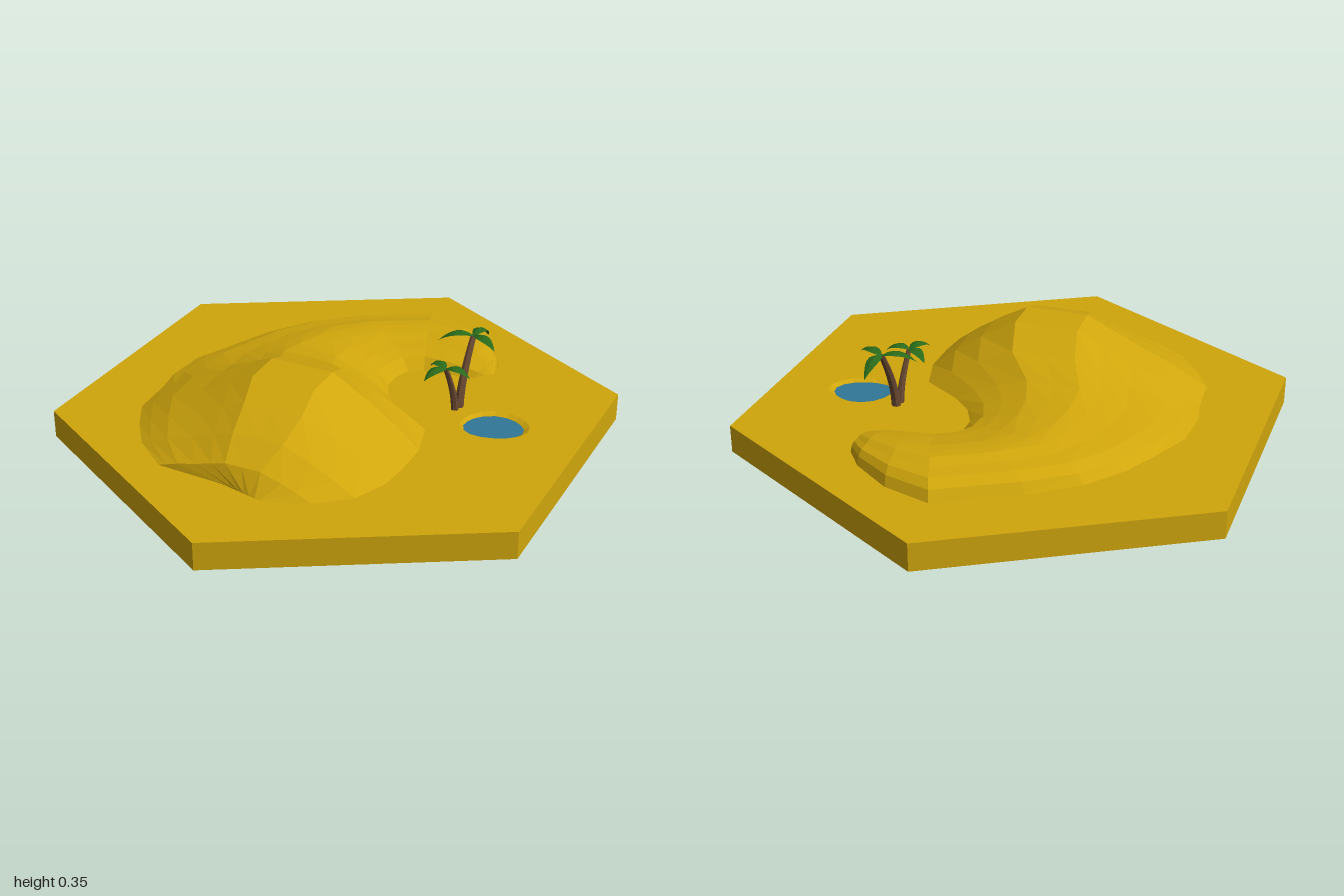
import * as THREE from 'three';

const material = (color, side = THREE.FrontSide) =>
  new THREE.MeshStandardMaterial({ color, side, flatShading: true });
const sand = material(0xd0a60c);
const water = material(0x2f7796);
const bark = material(0x6b4a32);
const leafGreen = material(0x2a6a1a, THREE.DoubleSide);
const GROUND = 0.1;

function mesh(name, geometry, mat) {
  const m = new THREE.Mesh(geometry, mat);
  m.name = name;
  return m;
}

// Triangulated sheet from rows of [x, y, z] points
function sheet(rows) {
  const n = rows[0].length, index = [];
  for (let i = 0; i < rows.length - 1; i++) {
    for (let j = 0; j < n - 1; j++) {
      const a = i * n + j, c = a + n;
      index.push(a, a + 1, c, a + 1, c + 1, c);
    }
  }
  const g = new THREE.BufferGeometry();
  g.setAttribute('position', new THREE.Float32BufferAttribute(rows.flat(2), 3));
  g.setIndex(index);
  g.computeVertexNormals();
  return g;
}

// Slightly irregular tilted oval, in x and z
function oval(cx, cz, rx, rz, tilt) {
  const points = [];
  for (let i = 0; i < 16; i++) {
    const a = (i / 16) * Math.PI * 2, k = 1 + 0.04 * Math.sin(3 * a);
    const x = rx * k * Math.cos(a), z = rz * k * Math.sin(a);
    points.push(new THREE.Vector2(cx + x * Math.cos(tilt) - z * Math.sin(tilt),
      cz + x * Math.sin(tilt) + z * Math.cos(tilt)));
  }
  return points;
}

// Flat shape given in x and z, facing up
function flat(points, y, hole) {
  const flip = (list) => list.map((p) => new THREE.Vector2(p.x, -p.y));
  const shape = new THREE.Shape(flip(points));
  if (hole) shape.holes.push(new THREE.Path(flip(hole)));
  return new THREE.ShapeGeometry(shape).rotateX(-Math.PI / 2).translate(0, y, 0);
}

// Hexagonal slab with a shallow pond sunk into its top
function makeGround() {
  const group = new THREE.Group();
  group.name = 'ground';
  const corners = Array.from({ length: 6 }, (_, i) =>
    new THREE.Vector2(Math.sin(i * Math.PI / 3), Math.cos(i * Math.PI / 3)));
  const rim = oval(0.553, -0.095, 0.12, 0.098, -0.35);
  const shore = oval(0.55, -0.092, 0.105, 0.08, -0.3);
  const ring = (list, y) => [...list, list[0]].map((p) => [p.x, y, p.y]);
  const sides = new THREE.CylinderGeometry(1, 1, GROUND, 6, 1, true).translate(0, GROUND / 2, 0);
  const bottom = new THREE.CircleGeometry(1, 6, Math.PI / 2).rotateX(Math.PI / 2);
  group.add(
    mesh('slabSides', sides, sand),
    mesh('slabBottom', bottom, sand),
    mesh('slabTop', flat(corners, GROUND, rim), sand),
    mesh('pondBank', sheet([ring(shore, GROUND - 0.01), ring(rim, GROUND)]), material(0xd0a60c, THREE.DoubleSide)),
    mesh('pondWater', flat(shore, GROUND - 0.01), water));
  return group;
}

// Curling dune lofted through sections: outer x, z, inner x, z, height, tail blend
function makeDune() {
  const sections = [
    [-0.10, 0.66, 0.08, 0.70, 0, 0],
    [-0.34, 0.65, 0.22, 0.64, 0.07, 0],
    [-0.47, 0.55, 0.33, 0.55, 0.13, 0],
    [-0.55, 0.44, 0.38, 0.43, 0.18, 0],
    [-0.61, 0.33, 0.39, 0.32, 0.22, 0],
    [-0.62, 0.18, 0.39, 0.18, 0.22, 0],
    [-0.64, 0.07, 0.35, 0.04, 0.165, 0],
    [-0.63, -0.08, 0.21, -0.05, 0.12, 0.1],
    [-0.57, -0.22, 0.14, -0.12, 0.10, 0.3],
    [-0.50, -0.36, 0.10, -0.20, 0.09, 0.5],
    [-0.40, -0.49, 0.10, -0.28, 0.08, 0.8],
    [-0.24, -0.61, 0.12, -0.33, 0.08, 1],
    [0.03, -0.76, 0.17, -0.36, 0.08, 1],
    [0.20, -0.71, 0.23, -0.37, 0.075, 1],
    [0.34, -0.61, 0.31, -0.38, 0.06, 1],
    [0.40, -0.53, 0.36, -0.39, 0.04, 1],
    [0.41, -0.46, 0.37, -0.41, 0, 1],
  ];
  // Position across, height on the dome, height on the tail
  const profile = [
    [0, 0, 0], [0.05, 0.13, 0.45], [0.13, 0.33, 0.75], [0.25, 0.56, 0.85], [0.36, 0.8, 1],
    [0.45, 1, 1], [0.56, 1, 0.95], [0.68, 1, 0.8], [0.81, 0.66, 0.65], [0.91, 0.34, 0.5], [1, 0, 0],
  ];
  const rows = sections.map(([ox, oz, ix, iz, h, tail]) => profile.map(([t, dome, crest]) =>
    [ox + (ix - ox) * t, GROUND + h * (dome + (crest - dome) * tail), oz + (iz - oz) * t]));
  return mesh('dune', sheet(rows), sand);
}

// Drooping folded leaf from the crown to its tip
function makeLeaf(dx, dz, drop) {
  const length = Math.hypot(dx, dz), sx = -dz / length, sz = dx / length;
  const rows = [];
  for (let i = 0; i <= 6; i++) {
    const s = i / 6;
    const w = 0.003 + 0.021 * Math.sin(Math.PI * Math.pow(s, 0.85)) - 0.003 * s;
    const y = 0.05 * s * (1 - s) * 1.6 - drop * s * s;
    rows.push([-1, 0, 1].map((k) =>
      [dx * s + sx * k * w, y - Math.abs(k) * w * 0.35, dz * s + sz * k * w]));
  }
  return mesh('palmLeaf', sheet(rows), leafGreen);
}

// Bent tapering trunk with a crown of leaves
function makePalm(name, base, top, radius, leaves) {
  const group = new THREE.Group();
  group.name = name;
  const trunk = new THREE.CylinderGeometry(radius * 0.65, radius, 1, 7, 7).translate(0, 0.5, 0);
  const p = trunk.attributes.position;
  for (let i = 0; i < p.count; i++) {
    const t = p.getY(i), bend = Math.pow(t, 1.6);
    p.setXYZ(i, base[0] + (top[0] - base[0]) * bend + p.getX(i),
      GROUND - 0.005 + (top[1] - GROUND + 0.005) * t,
      base[1] + (top[2] - base[1]) * bend + p.getZ(i));
  }
  trunk.computeVertexNormals();
  const crown = new THREE.Group();
  crown.name = 'palmCrown';
  crown.position.set(...top);
  for (const [x, z, drop] of leaves) crown.add(makeLeaf(x - top[0], z - top[2], drop));
  group.add(mesh('palmTrunk', trunk, bark), crown);
  return group;
}

export function createModel() {
  const model = new THREE.Group();
  model.name = 'desertOasis';
  model.add(
    makeGround(),
    makeDune(),
    makePalm('tallPalm', [0.39, -0.165], [0.395, 0.335, -0.265], 0.017,
      [[0.41, -0.38, 0.045], [0.28, -0.225, 0.025], [0.495, -0.215, 0.02]]),
    makePalm('shortPalm', [0.385, -0.14], [0.37, 0.282, -0.08], 0.014,
      [[0.295, -0.125, 0.025], [0.46, -0.08, 0.02], [0.325, 0.005, 0.02]]));
  return model;
}
